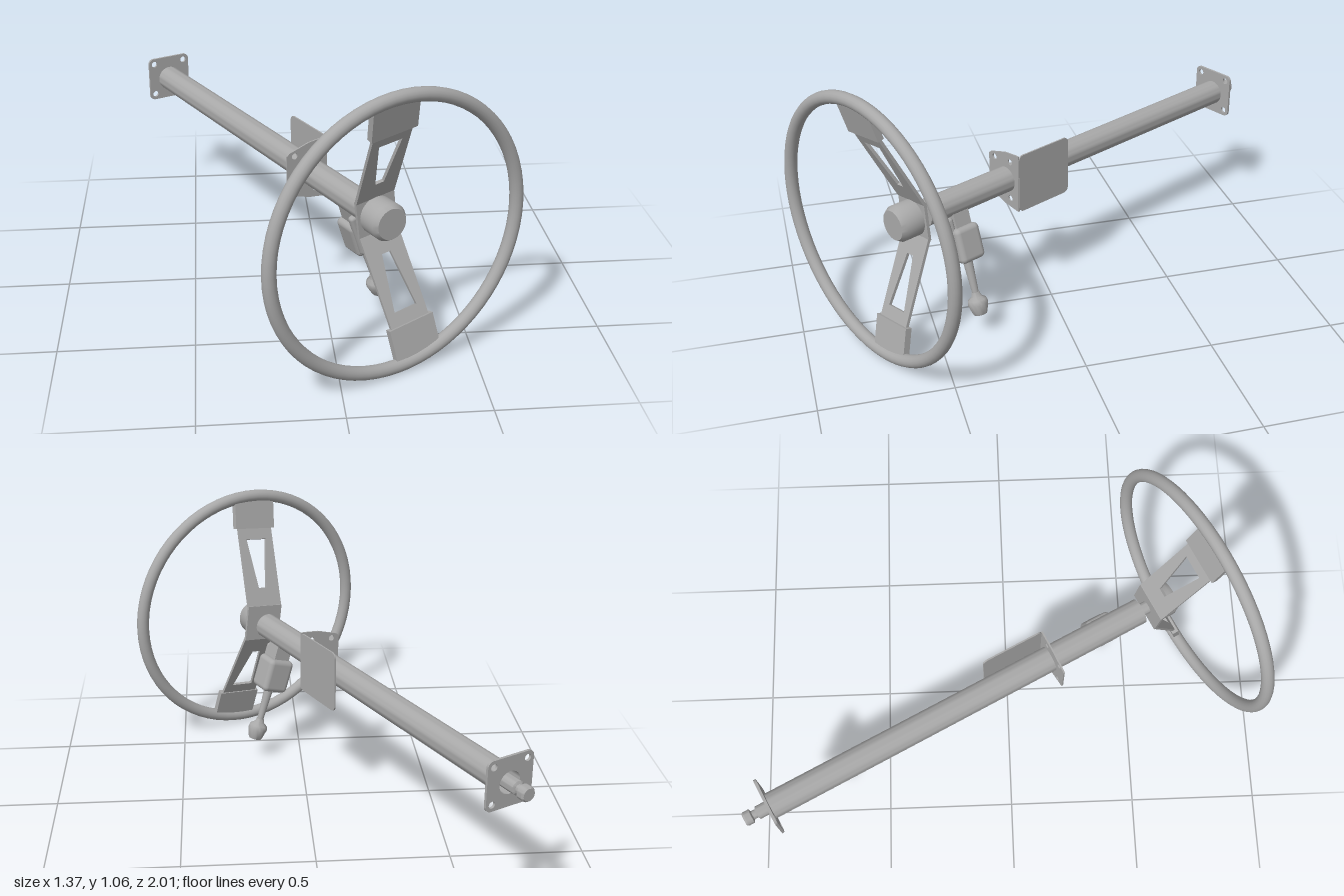
import * as THREE from 'three';
import { toCreasedNormals } from 'three/addons/utils/BufferGeometryUtils.js';
import { RoundedBoxGeometry } from 'three/addons/geometries/RoundedBoxGeometry.js';

const metal = new THREE.MeshStandardMaterial({ color: 0xa8a8a8, side: THREE.DoubleSide });
metal.name = 'grey metal';

function add(parent, name, geometry, x = 0, y = 0, z = 0) {
  const mesh = new THREE.Mesh(geometry, metal);
  mesh.name = name;
  mesh.position.set(x, y, z);
  parent.add(mesh);
  return mesh;
}

// Turned part along z; points are [radius, z] from back to front
function turned(points, segments = 40) {
  const g = new THREE.LatheGeometry(points.map(([r, z]) => new THREE.Vector2(r, z)), segments);
  return toCreasedNormals(g.rotateX(Math.PI / 2), 0.6);
}

function polygon(points, Type = THREE.Shape) {
  return new Type(points.map(([x, y]) => new THREE.Vector2(x, y)));
}

function plate(shape, depth) {
  return new THREE.ExtrudeGeometry(shape, { depth, bevelEnabled: false, curveSegments: 16 })
    .translate(0, 0, -depth / 2);
}

function roundedRect(w, h, r) {
  const s = new THREE.Shape();
  const a = w / 2, b = h / 2;
  s.absarc(a - r, b - r, r, 0, Math.PI / 2);
  s.absarc(-a + r, b - r, r, Math.PI / 2, Math.PI);
  s.absarc(-a + r, -b + r, r, Math.PI, Math.PI * 1.5);
  s.absarc(a - r, -b + r, r, Math.PI * 1.5, Math.PI * 2);
  s.closePath();
  return s;
}

function drill(shape, x, y, r) {
  const hole = new THREE.Path();
  hole.absarc(x, y, r, 0, Math.PI * 2, true);
  shape.holes.push(hole);
}

// One dished spoke pointing up, with a tapered window and a rim clamp
function makeSpoke() {
  const spoke = new THREE.Group();
  spoke.name = 'spoke';
  const arm = polygon([[-0.08, 0], [0.08, 0], [0.08, 0.345], [-0.08, 0.345]]);
  arm.holes.push(polygon([[-0.018, 0.08], [-0.047, 0.29], [0.047, 0.29], [0.018, 0.08]], THREE.Path));
  add(spoke, 'spokeArm', plate(arm, 0.012), 0, 0.07, -0.185).rotation.x = 0.457;
  const clamp = new THREE.BoxGeometry(0.185, 0.125, 0.026).translate(0, 0.0625, 0);
  add(spoke, 'rimClamp', clamp, 0, 0.372, -0.034).rotation.x = 0.26;
  return spoke;
}

export function createModel() {
  const model = new THREE.Group();
  model.name = 'steeringAssembly';

  // Everything is laid out along the column axis, then turned sideways
  const frame = new THREE.Group();
  frame.name = 'steeringFrame';
  frame.position.set(0.203, 0.532, 0.742);
  frame.rotation.y = 0.471;
  model.add(frame);

  // Wheel rim
  add(frame, 'wheelRim', new THREE.TorusGeometry(0.507, 0.025, 16, 72));

  // Hub and the two spokes
  const hub = new THREE.Group();
  hub.name = 'wheelHub';
  hub.position.set(0.032, 0.004, 0);
  hub.rotation.z = 0.125;
  frame.add(hub);
  add(hub, 'hubPlate', new THREE.BoxGeometry(0.16, 0.15, 0.012), 0, 0, -0.187);
  add(hub, 'hubCap', turned([[0, -0.185], [0.07, -0.185], [0.07, -0.107], [0.058, -0.088], [0, -0.088]]));
  for (const turn of [0, Math.PI]) {
    const spoke = makeSpoke();
    spoke.rotation.z = turn;
    hub.add(spoke);
  }

  // Column tube, shaft and end fitting
  const column = new THREE.Group();
  column.name = 'column';
  column.position.set(0.034, 0.002, 0);
  frame.add(column);
  add(column, 'columnTube', turned([[0, -1.72], [0.043, -1.72], [0.043, -1.838], [0.051, -1.838],
    [0.051, -0.226], [0.04, -0.226], [0, -0.226]]));
  add(column, 'upperShaft', turned([[0.026, -0.235], [0.026, -0.185]]));
  add(column, 'lowerShaft', turned([[0, -1.935], [0.023, -1.935], [0.028, -1.928], [0.028, -1.905],
    [0.017, -1.9], [0.017, -1.885], [0.026, -1.88], [0.026, -1.72]]));

  // Square mounting flange at the far end
  const flange = roundedRect(0.19, 0.188, 0.022);
  for (const x of [-0.07, 0.07]) for (const y of [-0.069, 0.069]) drill(flange, x, y, 0.013);
  drill(flange, 0, 0, 0.046);
  add(column, 'endFlange', plate(flange, 0.01), 0, 0.005, -1.833);

  // Angle bracket half way along the column
  const face = polygon([[-0.1, -0.075], [-0.09, -0.085], [-0.005, -0.112], [0.06, -0.12], [0.073, -0.12],
    [0.073, 0.12], [0.06, 0.12], [-0.005, 0.112], [-0.09, 0.085], [-0.1, 0.075]]);
  for (const y of [-0.07, 0.07]) {
    drill(face, -0.067, y, 0.012);
    drill(face, 0.025, y * 1.13, 0.012);
  }
  add(column, 'bracketFace', plate(face, 0.006), 0, 0.002, -0.63);
  add(column, 'bracketSide', plate(roundedRect(0.255, 0.243, 0.022), 0.006), 0.073, 0.002, -0.757)
    .rotation.y = Math.PI / 2;

  // Control box with lever, hanging to one side below the column
  const control = new THREE.Group();
  control.name = 'leverControl';
  control.position.set(0, 0, -0.365);
  control.rotation.z = 0.32;
  column.add(control);
  add(control, 'controlBox', new RoundedBoxGeometry(0.115, 0.14, 0.11, 3, 0.02), 0, -0.165, 0);
  add(control, 'controlMount', new RoundedBoxGeometry(0.08, 0.17, 0.03, 2, 0.012), -0.01, -0.135, 0.05);
  add(control, 'mountSaddle', new THREE.BoxGeometry(0.07, 0.07, 0.07), 0, -0.075, 0);
  add(control, 'lever', new THREE.CylinderGeometry(0.02, 0.012, 0.17, 20), 0, -0.305, 0);
  const knob = [[0, -0.46], [0.026, -0.46], [0.03, -0.452], [0.04, -0.415], [0.036, -0.4],
    [0.02, -0.388], [0.015, -0.37], [0, -0.37]].map(([r, y]) => new THREE.Vector2(r, y));
  add(control, 'leverKnob', toCreasedNormals(new THREE.LatheGeometry(knob, 24), 0.7));

  return model;
}
